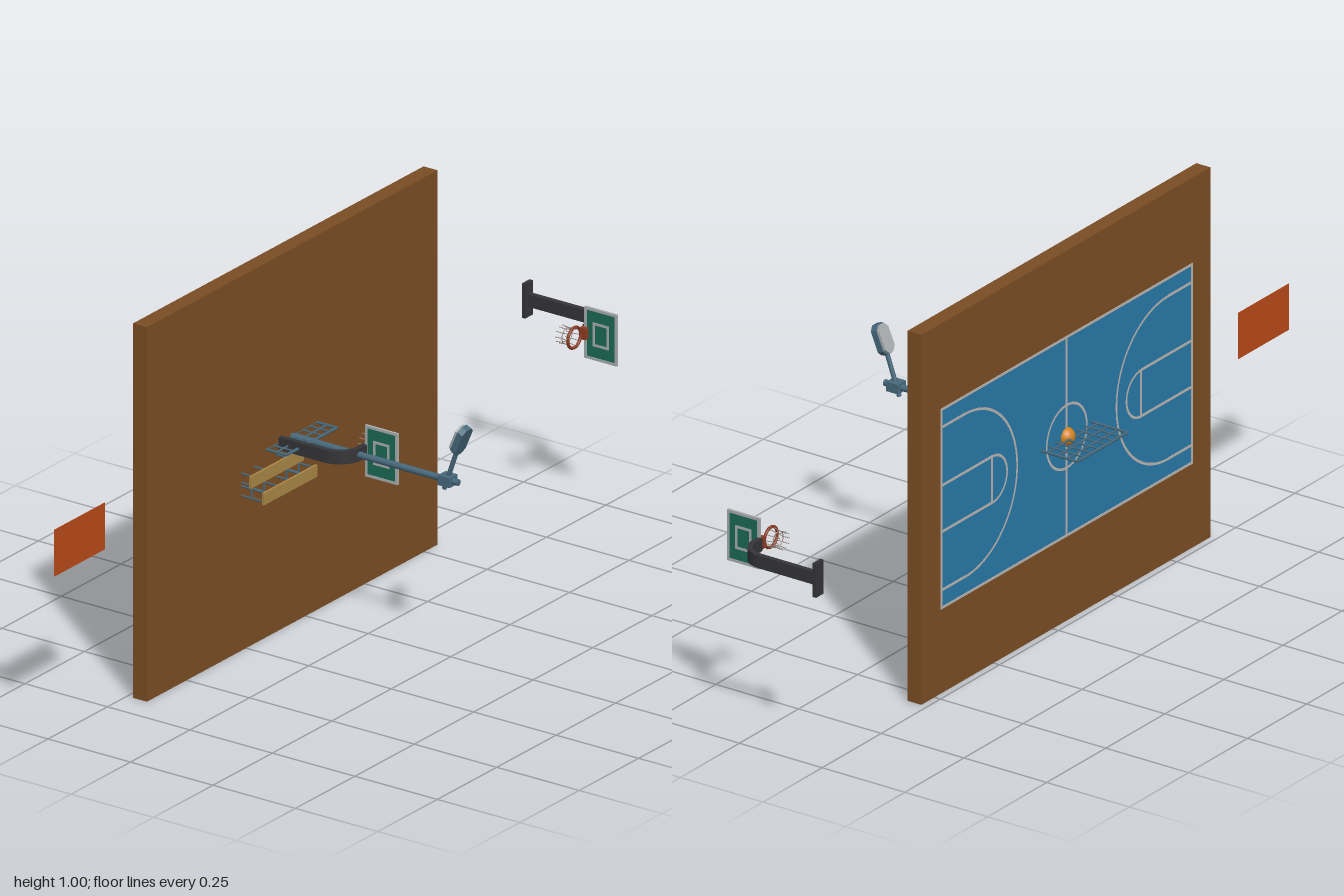
import * as THREE from 'three';

const mat = (color) => new THREE.MeshStandardMaterial({ color, side: THREE.DoubleSide });
const M = {
  brown: mat(0x7a4d24), blue: mat(0x2878a8), line: mat(0xb9b4b0), orange: mat(0xb84a18),
  dark: mat(0x353538), steel: mat(0x47697c), green: mat(0x1a6a54), grey: mat(0xa9adae),
  rim: mat(0x8c3a22), net: mat(0xa09088), wood: mat(0xa98645), ball: mat(0xd0801c),
};
const CX = -0.056, CY = 0.5, BACK = -0.232;

function add(parent, name, geo, material, x = 0, y = 0, z = 0) {
  const m = new THREE.Mesh(geo, material);
  m.name = name;
  m.position.set(x, y, z);
  parent.add(m);
  return m;
}
function box(parent, name, material, w, h, d, x, y, z) {
  return add(parent, name, new THREE.BoxGeometry(w, h, d), material, x, y, z);
}
function rod(parent, name, material, a, b, r, sides = 8) {
  const A = new THREE.Vector3(...a), B = new THREE.Vector3(...b);
  const m = add(parent, name, new THREE.CylinderGeometry(r, r, A.distanceTo(B), sides), material);
  m.position.copy(A).lerp(B, 0.5);
  m.quaternion.setFromUnitVectors(new THREE.Vector3(0, 1, 0), B.sub(A).normalize());
  return m;
}
function group(parent, name, x = 0, y = 0, z = 0) {
  const g = new THREE.Group();
  g.name = name;
  g.position.set(x, y, z);
  parent.add(g);
  return g;
}

// Painted court markings, laid flat on the playing side of the slab
function courtLines(parent) {
  const g = group(parent, 'courtLines', CX, CY, BACK - 0.0025);
  const HX = 0.53, HY = 0.268, T = 0.007;
  const bar = (w, h, x, y) => box(g, 'line', M.line, w, h, 0.001, x, y, 0);
  const arc = (r, x, start, len) =>
    add(g, 'arcLine', new THREE.RingGeometry(r - T / 2, r + T / 2, 40, 1, start, len), M.line, x, 0, -0.0005);
  for (const s of [-1, 1]) {
    const inward = s > 0 ? Math.PI / 2 : -Math.PI / 2;
    bar(2 * HX + T, T, 0, s * HY);
    bar(T, 2 * HY, s * HX, 0);
    // key
    bar(T, 0.125, s * (HX - 0.215), 0);
    for (const t of [-1, 1]) {
      bar(0.215, T, s * (HX - 0.1075), t * 0.0625);
      bar(0.1, T, s * (HX - 0.05), t * 0.22);
    }
    arc(0.0625, s * (HX - 0.215), inward, Math.PI);
    arc(0.22, s * (HX - 0.1), inward, Math.PI);
  }
  bar(T, 2 * HY, 0, 0);
  arc(0.085, 0, 0, Math.PI * 2);
}

// Hoop: backboard at the local origin, post on +x, ring on -x, height along z
function hoop(parent, x, turn) {
  const g = group(parent, 'hoop', x, CY, 0);
  g.rotation.z = turn;

  // bent flat post
  const P = 0.084, t = 0.007, R = 0.06, top = 0.008;
  const s = new THREE.Shape();
  s.moveTo(P + t, -0.228);
  s.lineTo(P + t, top - R);
  s.absarc(P - R, top - R, R + t, 0, Math.PI / 2, false);
  s.lineTo(0, top + t);
  s.lineTo(0, top - t);
  s.lineTo(P - R, top - t);
  s.absarc(P - R, top - R, R - t, Math.PI / 2, 0, true);
  s.lineTo(P - t, -0.228);
  const post = new THREE.ExtrudeGeometry(s, { depth: 0.034, bevelEnabled: false, curveSegments: 12 });
  post.rotateX(Math.PI / 2);
  add(g, 'post', post, M.dark, 0, 0.017, 0);
  box(g, 'basePlate', M.dark, 0.032, 0.092, 0.01, P, 0, -0.2265);

  // backboard with edging and target square on both sides
  const b = group(g, 'backboard', 0, 0, 0.058);
  box(b, 'panel', M.green, 0.004, 0.13, 0.092, 0, 0, 0);
  const frame = (name, w, h, th, d) => {
    for (const k of [-1, 1]) {
      box(b, name, M.grey, d, th, w, 0, k * (h - th) / 2, 0);
      box(b, name, M.grey, d, h, th, 0, 0, k * (w - th) / 2);
    }
  };
  frame('edging', 0.098, 0.137, 0.007, 0.007);
  b.children.length && frame('targetSquare', 0.05, 0.064, 0.007, 0.0055);

  // ring and bracket
  box(g, 'bracket', M.rim, 0.018, 0.03, 0.018, -0.008, 0, 0.012);
  add(g, 'ring', new THREE.TorusGeometry(0.027, 0.004, 8, 28), M.rim, -0.047, 0, 0.01);

  // net of crossing strands, with two hoops of cord
  const n = 10;
  const at = (i, r, z) => {
    const a = (i / n) * Math.PI * 2;
    return [-0.047 + Math.cos(a) * r, Math.sin(a) * r, z];
  };
  for (let i = 0; i < n; i++) {
    rod(g, 'netStrand', M.net, at(i, 0.026, 0.009), at(i, 0.021, -0.012), 0.0011, 5);
    rod(g, 'netStrand', M.net, at(i, 0.021, -0.012), at(i, 0.023, -0.031), 0.0011, 5);
  }
  add(g, 'netCord', new THREE.TorusGeometry(0.021, 0.0012, 5, 20), M.net, -0.047, 0, -0.012);
}

// Floodlight on a tall post
function floodlight(parent) {
  const g = group(parent, 'floodlight', CX, CY, 0);
  rod(g, 'lampPost', M.steel, [0, 0, -0.22], [0, 0, 0.315], 0.0085, 12);
  box(g, 'clamp', M.steel, 0.034, 0.026, 0.036, 0, 0, 0.281);
  rod(g, 'lampArm', M.steel, [0, -0.026, 0.271], [0, 0.088, 0.311], 0.006, 10);
  const head = group(g, 'lampHead', 0, 0.117, 0.32);
  head.rotation.x = 0.4;
  const outline = (w, h) => {
    const s = new THREE.Shape(), x = w / 2, y = h / 2, c = 0.012;
    s.moveTo(-x + c, -y);
    s.lineTo(x - c, -y);
    s.lineTo(x, -y + c);
    s.lineTo(x, y - c);
    s.lineTo(x - c, y);
    s.lineTo(-x + c, y);
    s.lineTo(-x, y - c);
    s.lineTo(-x, -y + c);
    return s;
  };
  const slab = (name, w, h, d, m, z) =>
    add(head, name, new THREE.ExtrudeGeometry(outline(w, h), { depth: d, bevelEnabled: false }), m, 0, 0, z);
  slab('housing', 0.044, 0.08, 0.017, M.steel, -0.005);
  slab('lens', 0.04, 0.074, 0.007, M.grey, -0.012);
}

// Two-row bench, standing out from the slab
function bench(parent) {
  const g = group(parent, 'bench', -0.168, 0, 0);
  const rows = [[0.426, -0.117], [0.46, -0.157]];
  for (const [y, z] of rows) {
    box(g, 'plank', M.wood, 0.224, 0.032, 0.006, 0, y, z);
    for (const x of [-0.1, -0.047, 0.047, 0.1]) {
      for (const k of [-1, 1]) {
        rod(g, 'leg', M.steel, [x, y + k * 0.0125, z], [x, y + k * 0.0125, -0.215], 0.0028, 6);
      }
    }
  }
  for (const x of [-0.1, -0.047, 0.047, 0.1]) {
    rod(g, 'crossBar', M.steel, [x, 0.413, -0.161], [x, 0.472, -0.161], 0.0028, 6);
  }
}

// Grid fence passing through the slab
function fence(parent) {
  const g = group(parent, 'fence', CX, CY, -0.237);
  const H = 0.106, N = 7;
  for (let i = 0; i <= N; i++) {
    const p = -H + (2 * H * i) / N;
    const r = i % N ? 0.0027 : 0.004;
    rod(g, 'fenceBar', M.steel, [p, 0, -H], [p, 0, H], r, 6);
    rod(g, 'fenceBar', M.steel, [-H, 0, p], [H, 0, p], r, 6);
  }
}

export function createModel() {
  const root = new THREE.Group();
  root.name = 'basketballCourt';

  box(root, 'groundSlab', M.brown, 1.222, 1, 0.042, CX, CY, -0.211);
  box(root, 'courtSurface', M.blue, 1.06, 0.536, 0.002, CX, CY, BACK - 0.0008);
  courtLines(root);
  box(root, 'paintPanel', M.orange, 0.215, 0.125, 0.001, -0.8925, CY, BACK);

  hoop(root, 0.9, 0);
  hoop(root, -0.023, Math.PI);
  floodlight(root);
  bench(root);
  fence(root);
  add(root, 'ball', new THREE.SphereGeometry(0.024, 24, 16), M.ball, CX, CY, -0.232);
  return root;
}
